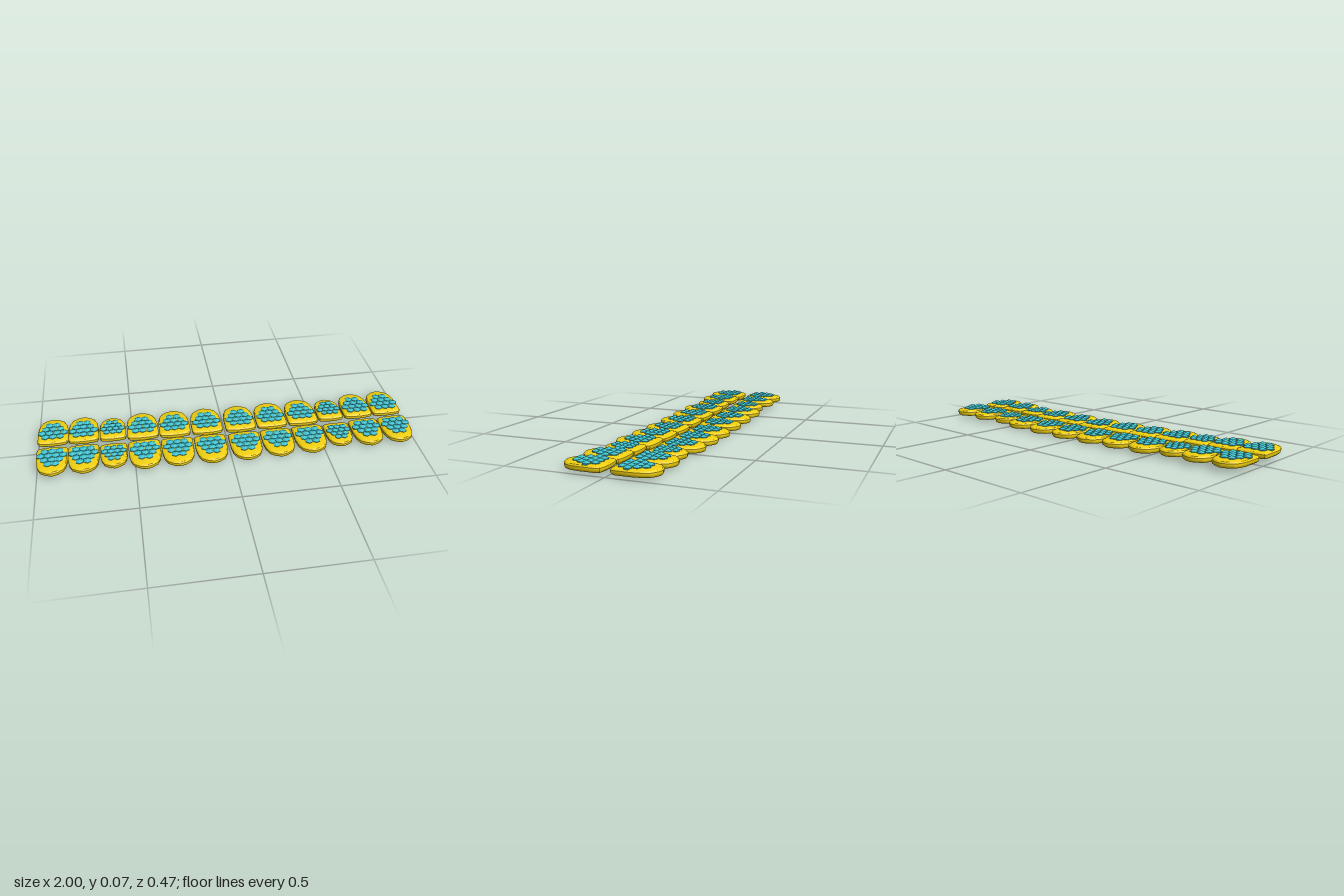
import * as THREE from 'three';
import { mergeGeometries, toCreasedNormals } from 'three/addons/utils/BufferGeometryUtils.js';

const gold = new THREE.MeshStandardMaterial({ color: 0xf0d010, side: THREE.DoubleSide });
const teal = new THREE.MeshStandardMaterial({ color: 0x3fc0cc, flatShading: true, side: THREE.DoubleSide });

// Half outline of a plate: fraction of width, fraction of length (0 = inner edge, 1 = outer tip)
const half = [[0.19, 0.96], [0.37, 0.87], [0.46, 0.72], [0.5, 0.52], [0.5, 0.1], [0.46, 0.04], [0.25, 0.01]];
const outline = [[0, 1], ...half, [0, 0], ...half.map(([x, z]) => [-x, z]).reverse()];

// Wall section: inset, height
const section = [[0.008, 0], [0.002, 0.006], [0, 0.013], [0, 0.022], [0.005, 0.029], [0.016, 0.033]];

// Hollow plate, open underneath
function plateGeometry(width, z0, z1) {
  const n = outline.length, pos = [], index = [];
  const length = z1 - z0, mid = (z0 + z1) / 2;
  for (const [inset, y] of section) {
    const sx = 1 - 2 * inset / width, sz = 1 - 2 * inset / length;
    for (const [u, v] of outline) pos.push(u * width * sx, y, mid + (v - 0.5) * length * sz);
  }
  const centre = pos.length / 3, last = (section.length - 1) * n;
  pos.push(0, 0.034, mid);
  for (let i = 0; i < n; i++) {
    const k = (i + 1) % n;
    for (let j = 0; j < section.length - 1; j++) {
      const a = j * n + i, b = j * n + k;
      index.push(a, b, b + n, a, b + n, a + n);
    }
    index.push(last + i, last + k, centre);
  }
  const g = new THREE.BufferGeometry();
  g.setAttribute('position', new THREE.Float32BufferAttribute(pos, 3));
  g.setIndex(index);
  return toCreasedNormals(g, 0.6);
}

// Honeycomb of six-sided studs with pointed tops
function studGeometry(scale, zStart) {
  const r = 0.0215 * scale;
  const profile = [[0, 0.024], [r * 0.85, 0.026], [r, 0.037], [0, 0.047]].map(p => new THREE.Vector2(...p));
  const studs = [];
  [3, 4, 3, 2].forEach((count, row) => {
    for (let i = 0; i < count; i++) {
      studs.push(new THREE.LatheGeometry(profile, 6).translate(
        (i - (count - 1) / 2) * 0.0385 * scale, 0, zStart + row * 0.034 * scale));
    }
  });
  return mergeGeometries(studs);
}

const kinds = {
  large: { plate: [0.168, 0.012, 0.235], studs: [1, 0.063] },
  small: { plate: [0.14, 0.022, 0.208], studs: [0.85, 0.07] },
  end: { plate: [0.16, 0.016, 0.232], studs: [1, 0.063] },
};

// Plate centre x, height of its lower edge, kind
const row = [
  [-0.92, 0.024, 'end'], [-0.76, 0.021, 'end'], [-0.605, 0.015, 'small'],
  [-0.445, 0.011, 'large'], [-0.272, 0.007, 'large'], [-0.095, 0.003, 'large'],
  [0.09, 0, 'large'], [0.265, 0.001, 'large'], [0.44, 0.003, 'large'],
  [0.6, 0.006, 'small'], [0.756, 0.011, 'end'], [0.92, 0.013, 'end'],
];

export function createModel() {
  const model = new THREE.Group();
  model.name = 'studdedPlateRows';
  const geometry = {};
  for (const [kind, k] of Object.entries(kinds)) {
    geometry[kind] = { plate: plateGeometry(...k.plate), studs: studGeometry(...k.studs) };
  }
  // The back row is the front row's plates turned about
  for (const [name, turn] of [['front', 0], ['back', Math.PI]]) {
    const rowGroup = new THREE.Group();
    rowGroup.name = name + 'Row';
    row.forEach(([x, y, kind], i) => {
      const unit = new THREE.Group();
      unit.name = name + 'Segment' + (i + 1);
      const plate = new THREE.Mesh(geometry[kind].plate, gold);
      plate.name = 'plate';
      const studs = new THREE.Mesh(geometry[kind].studs, teal);
      studs.name = 'studs';
      unit.add(plate, studs);
      unit.position.set(x, y, 0);
      unit.rotation.y = turn;
      rowGroup.add(unit);
    });
    model.add(rowGroup);
  }
  return model;
}
